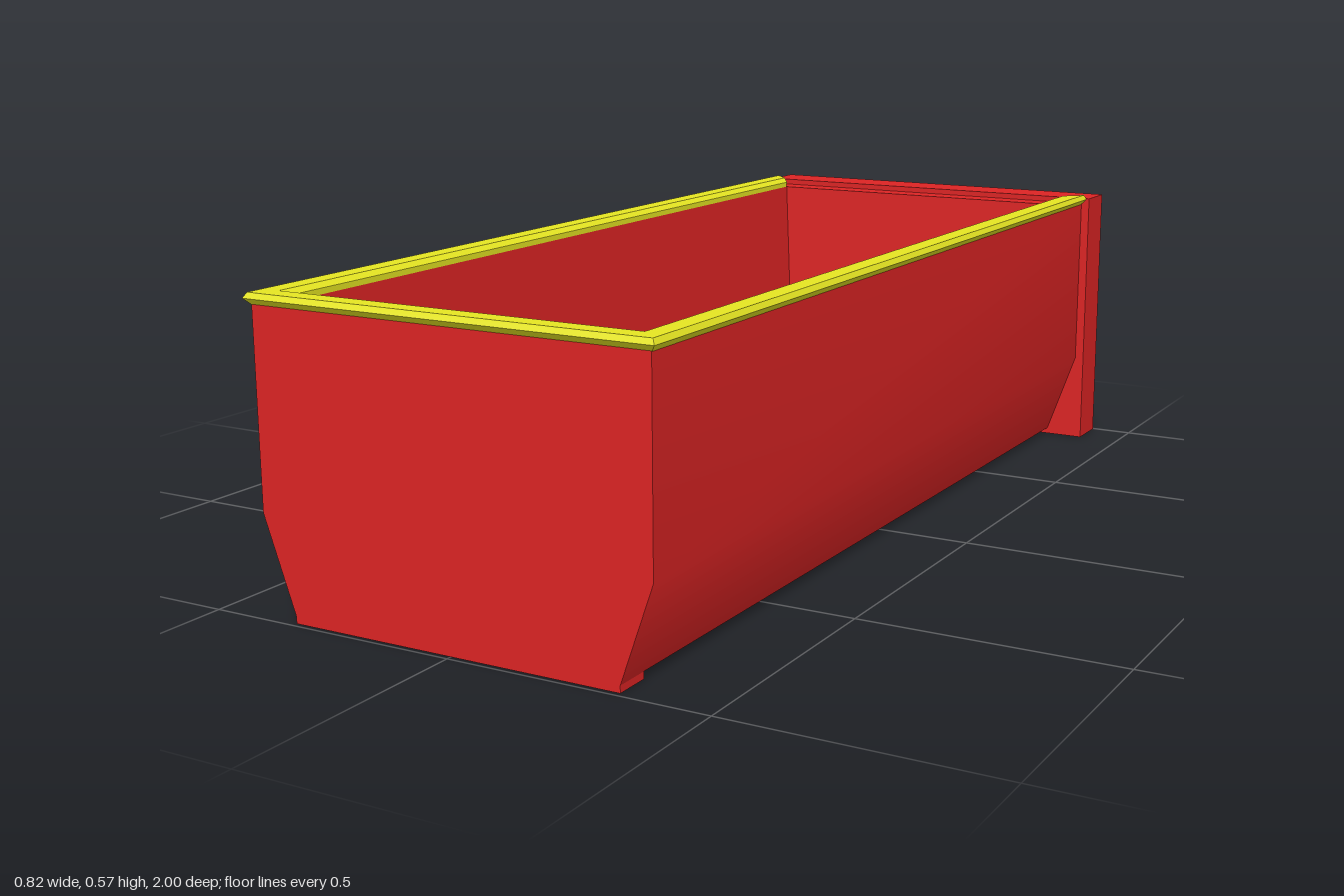
import * as THREE from 'three';

const red = new THREE.MeshStandardMaterial({ color: 0xdd2424 });
const yellow = new THREE.MeshStandardMaterial({ color: 0xe6e622 });

function mesh(name, geometry, material = red) {
  const m = new THREE.Mesh(geometry, material);
  m.name = name;
  return m;
}

function box(name, [x0, x1], [y0, y1], [z0, z1], material = red) {
  const m = mesh(name, new THREE.BoxGeometry(x1 - x0, y1 - y0, z1 - z0), material);
  m.position.set((x0 + x1) / 2, (y0 + y1) / 2, (z0 + z1) / 2);
  return m;
}

// Flat-shaded geometry from a list of convex polygons
function facets(polygons) {
  const points = [];
  for (const p of polygons) {
    for (let i = 1; i < p.length - 1; i++) points.push(...p[0], ...p[i], ...p[i + 1]);
  }
  const g = new THREE.BufferGeometry();
  g.setAttribute('position', new THREE.Float32BufferAttribute(points, 3));
  g.computeVertexNormals();
  return g;
}

function createBody() {
  const body = new THREE.Group();
  body.name = 'body';
  const zBack = -0.91, zFront = 0.99;
  const section = [[0.394, 0.555], [0.393, 0.19], [0.33, 0.013]];

  // Outer side walls, softly shaded across the lower bend
  const side = new THREE.PlaneGeometry(1, 1, 1, 2);
  const pos = side.attributes.position;
  for (let i = 0; i < pos.count; i++) {
    const [x, y] = section[Math.floor(i / 2)];
    pos.setXYZ(i, x, y, i % 2 ? zBack : zFront);
  }
  side.computeVertexNormals();
  for (const s of [1, -1]) {
    const wall = mesh(s > 0 ? 'leftWall' : 'rightWall', side);
    wall.scale.x = s;
    body.add(wall);
  }

  // Front plate, floor underside and front foot
  const outline = [...section, ...section.map(([x, y]) => [-x, y]).reverse()];
  const front = mesh('frontWall', new THREE.ShapeGeometry(
    new THREE.Shape(outline.map(([x, y]) => new THREE.Vector2(x, y)))));
  front.position.z = zFront;
  body.add(front);
  body.add(box('underside', [-0.33, 0.33], [0.013, 0.05], [zBack, 0.985]));
  body.add(box('frontFoot', [-0.33, 0.33], [0, 0.014], [0.92, zFront]));

  // Wall tops, tapered inner walls and floor, from nested rectangles
  const rings = [
    [0.394, 0.555, zBack, zFront],
    [0.35, 0.555, -0.855, 0.945],
    [0.325, 0.098, -0.842, 0.922],
    [0, 0.098, 0, 0],
  ].map(([w, y, b, f]) => [[w, y, f], [w, y, b], [-w, y, b], [-w, y, f]]);
  const faces = [];
  for (let r = 0; r < 3; r++) {
    for (let i = 0; i < 4; i++) {
      const j = (i + 1) % 4;
      faces.push([rings[r][i], rings[r][j], rings[r + 1][j], rings[r + 1][i]]);
    }
  }
  body.add(mesh('innerTub', facets(faces)));
  return body;
}

// Chamfered rail around the sides and front, mitred at every corner
function createRim() {
  const profile = [[0.394, 0.553], [0.405, 0.565], [0.399, 0.575],
    [0.362, 0.575], [0.35, 0.566], [0.35, 0.553]];
  const stations = [
    ([x, y]) => [-x, y, -0.505 - x],
    ([x, y]) => [-x, y, 0.595 + x],
    ([x, y]) => [x, y, 0.595 + x],
    ([x, y]) => [x, y, -0.505 - x],
  ].map((place) => profile.map(place));
  const faces = [stations[0], [...stations[3]].reverse()];
  for (let s = 0; s < 3; s++) {
    for (let k = 0; k < profile.length; k++) {
      const n = (k + 1) % profile.length;
      faces.push([stations[s][k], stations[s + 1][k], stations[s + 1][n], stations[s][n]]);
    }
  }
  return mesh('rim', facets(faces), yellow);
}

function createRearDoors() {
  const doors = new THREE.Group();
  doors.name = 'rearDoors';
  const w = 0.412, h = 0.567;
  doors.add(box('rearFrame', [-w, w], [0, h], [-0.972, -0.905]));

  // Door framing with two columns of three recessed panels
  const rect = (Type, x0, x1, y0, y1) => new Type([[x0, y0], [x1, y0], [x1, y1], [x0, y1]]
    .map(([x, y]) => new THREE.Vector2(x, y)));
  const shape = rect(THREE.Shape, -w, w, 0, h);
  const border = 0.03, bar = 0.026;
  const panel = (h - 2 * border - 2 * bar) / 3;
  for (let row = 0; row < 3; row++) {
    const y = border + row * (panel + bar);
    shape.holes.push(rect(THREE.Path, 0.035, w - 0.038, y, y + panel));
    shape.holes.push(rect(THREE.Path, -w + 0.038, -0.035, y, y + panel));
  }
  const framing = mesh('doorFraming',
    new THREE.ExtrudeGeometry(shape, { depth: 0.025, bevelEnabled: false }));
  framing.position.z = -0.996;
  doors.add(framing);

  // Paired strips where the doors meet
  for (const s of [-1, 1]) {
    doors.add(box('doorStrip', s > 0 ? [0.007, 0.025] : [-0.025, -0.007],
      [0.001, h - 0.001], [-1, -0.99], yellow));
  }
  return doors;
}

export function createModel() {
  const model = new THREE.Group();
  model.name = 'openContainer';
  model.add(createBody(), createRim(), createRearDoors());
  return model;
}
